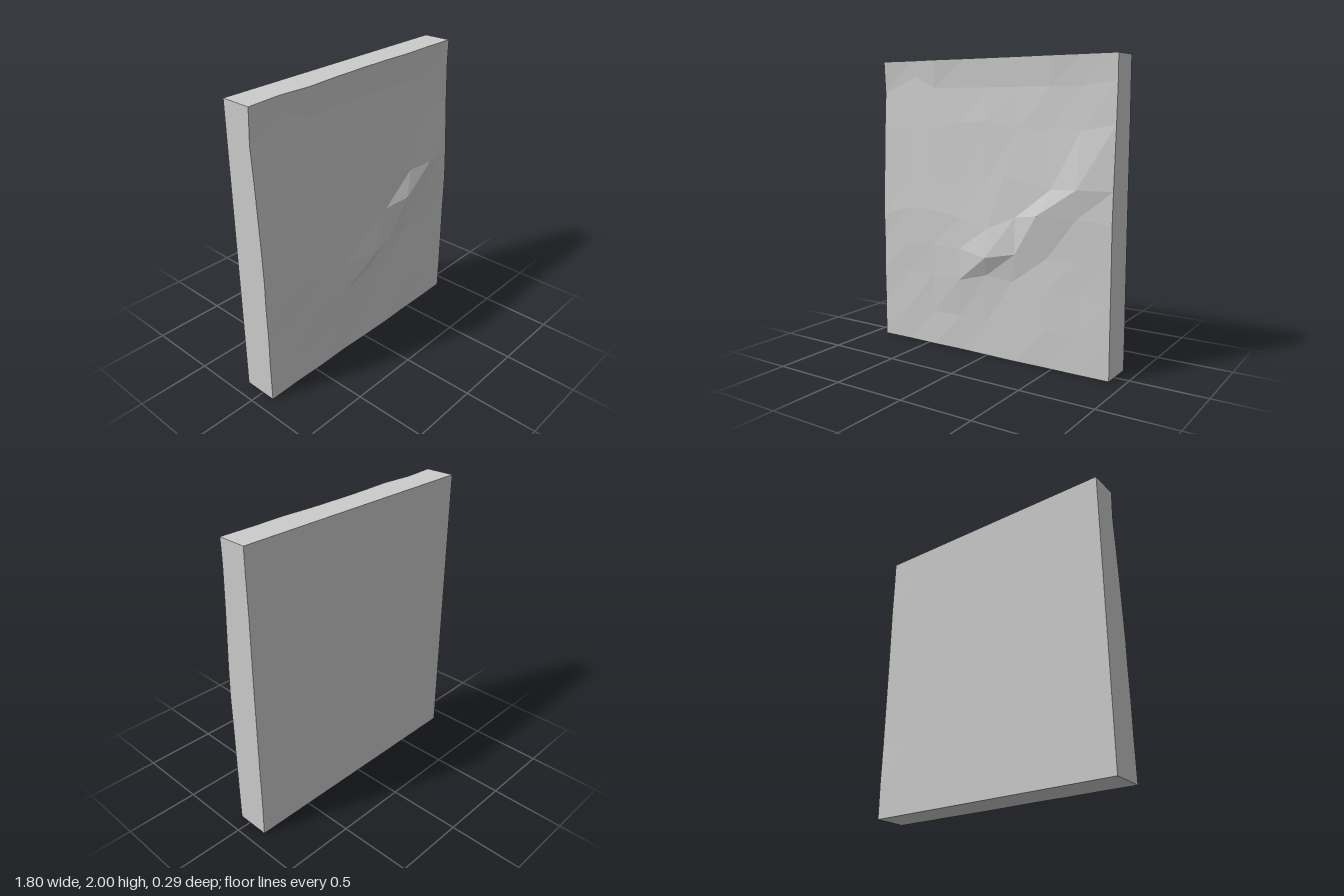
import * as THREE from 'three';

const W = 1.8, H = 2, N = 8, BACK = -0.145;
const columns = [-0.9, -0.67, -0.45, -0.22, 0, 0.22, 0.45, 0.67, 0.9];
const rows = [0, 0.24, 0.51, 0.72, 0.97, 1.18, 1.54, 1.81, 2];

// Depth of the rough front face, bottom row first
const relief = [
  [0.095, 0.090, 0.093, 0.088, 0.092, 0.095, 0.090, 0.090, 0.086],
  [0.092, 0.093, 0.088, 0.092, 0.090, 0.092, 0.095, 0.090, 0.088],
  [0.095, 0.090, 0.094, 0.107, 0.098, 0.090, 0.094, 0.088, 0.088],
  [0.090, 0.094, 0.095, 0.106, 0.146, 0.112, 0.090, 0.090, 0.088],
  [0.092, 0.092, 0.094, 0.098, 0.108, 0.092, 0.133, 0.096, 0.090],
  [0.082, 0.080, 0.082, 0.080, 0.082, 0.082, 0.088, 0.116, 0.082],
  [0.065, 0.064, 0.066, 0.062, 0.062, 0.060, 0.060, 0.063, 0.060],
  [0.050, 0.043, 0.050, 0.045, 0.042, 0.040, 0.048, 0.046, 0.050],
  [0.062, 0.046, 0.062, 0.050, 0.046, 0.046, 0.056, 0.050, 0.052],
];

// Grid points pushed off their row and column: 'column,row': [x, y]
const nudges = {
  '0,1': [-0.9, 0.27], '1,1': [-0.7, 0.21], '5,1': [0.25, 0.27],
  '3,2': [-0.22, 0.5], '4,2': [0, 0.56], '5,2': [0.2, 0.54],
  '4,3': [0.02, 0.69], '5,3': [0.23, 0.73],
  '0,4': [-0.9, 0.9], '3,4': [-0.2, 0.93], '4,4': [0.01, 0.88],
  '6,4': [0.4, 1.0], '7,4': [0.67, 1.0],
  '4,5': [-0.02, 1.19], '5,5': [0.13, 1.24], '6,5': [0.48, 1.17],
  '3,6': [-0.25, 1.58], '4,6': [-0.02, 1.59], '8,6': [0.9, 1.58],
  '0,7': [-0.9, 1.78], '1,7': [-0.63, 1.89], '2,7': [-0.46, 1.81],
  '8,7': [0.9, 1.84],
};

// Tiny swellings along one back edge
const backBumps = { '8,1': -0.148, '8,6': -0.148 };

function createSlab() {
  const box = new THREE.BoxGeometry(W, H, 1, N, N, 1);
  const p = box.attributes.position;
  for (let i = 0; i < p.count; i++) {
    const c = Math.round((p.getX(i) / W + 0.5) * N);
    const r = Math.round((p.getY(i) / H + 0.5) * N);
    const key = `${c},${r}`;
    const [x, y] = nudges[key] ?? [columns[c], rows[r]];
    const z = p.getZ(i) > 0 ? relief[r][c] : backBumps[key] ?? BACK;
    p.setXYZ(i, x, y, z);
  }
  const geometry = box.toNonIndexed();
  geometry.computeVertexNormals();
  return geometry;
}

export function createModel() {
  const group = new THREE.Group();
  group.name = 'stoneSlab';
  const slab = new THREE.Mesh(
    createSlab(),
    new THREE.MeshStandardMaterial({ color: 0xcccccc, flatShading: true }),
  );
  slab.name = 'roughFacedSlab';
  group.add(slab);
  return group;
}
